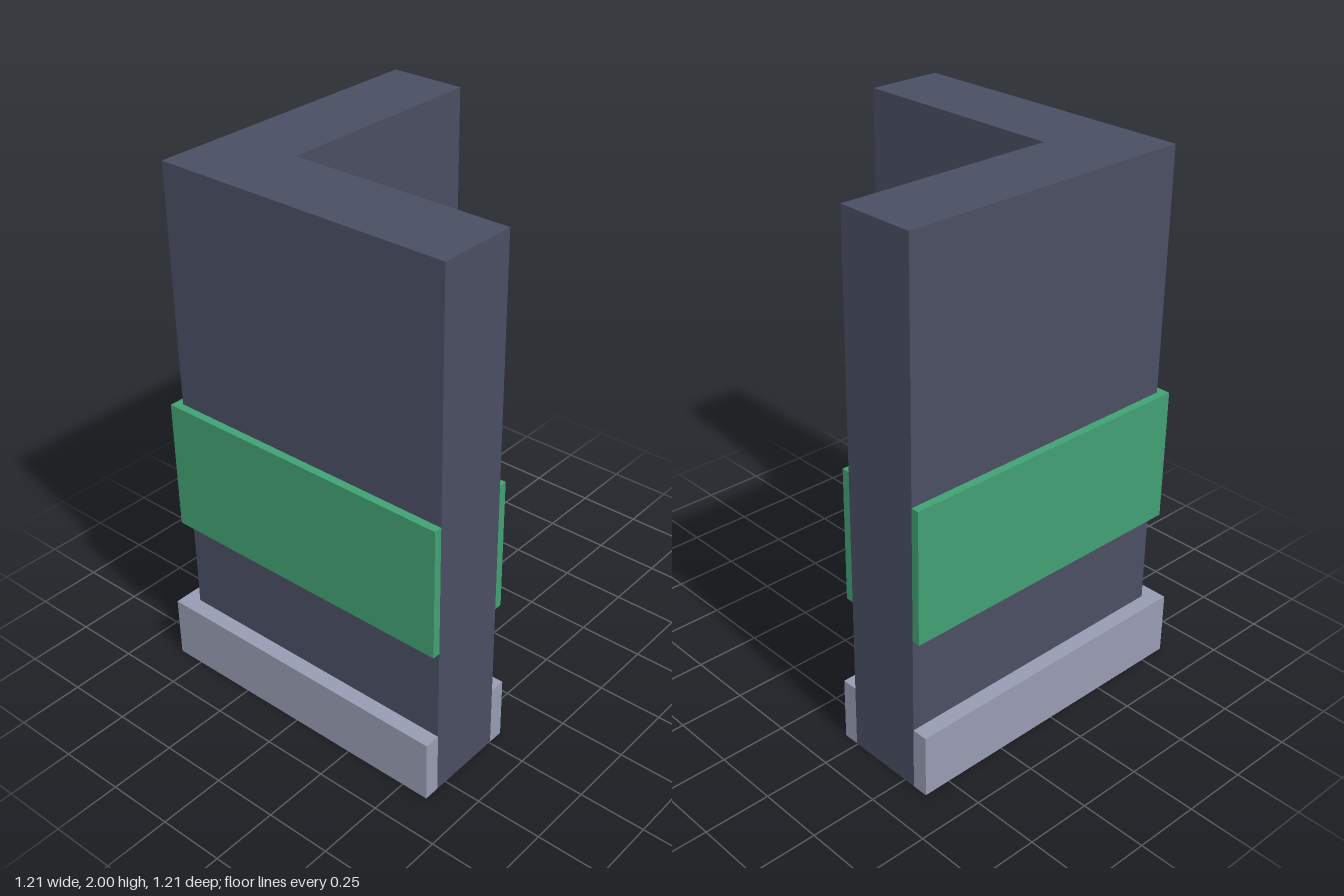
import * as THREE from 'three';

const END = 0.605;          // flush ends of both wings
const OUTER = -0.545;       // outer wall face
const INNER = -0.245;       // inner wall face

// L-shaped prism lying between the corner offsets a and b (same in x and z)
function cornerPrism(name, a, b, y0, y1, material) {
  const outline = [[END, a], [a, a], [a, END], [b, END], [b, b], [END, b]];
  const shape = new THREE.Shape(outline.map(([x, z]) => new THREE.Vector2(x, -z)));
  const geometry = new THREE.ExtrudeGeometry(shape, { depth: y1 - y0, bevelEnabled: false });
  geometry.rotateX(-Math.PI / 2).translate(0, y0, 0);
  const mesh = new THREE.Mesh(geometry, material);
  mesh.name = name;
  return mesh;
}

// Matching strips on the outer and inner faces of the wall
function trim(name, thickness, y0, y1, material) {
  const group = new THREE.Group();
  group.name = name;
  group.add(
    cornerPrism(name + 'Outer', OUTER - thickness, OUTER, y0, y1, material),
    cornerPrism(name + 'Inner', INNER, INNER + thickness, y0, y1, material)
  );
  return group;
}

export function createModel() {
  const wallPaint = new THREE.MeshStandardMaterial({ color: 0x4a4e62 });
  wallPaint.name = 'dark slate';
  const stripePaint = new THREE.MeshStandardMaterial({ color: 0x42a174 });
  stripePaint.name = 'green';
  const basePaint = new THREE.MeshStandardMaterial({ color: 0x979cb1 });
  basePaint.name = 'light grey';

  const model = new THREE.Group();
  model.name = 'cornerWall';
  model.add(
    cornerPrism('wall', OUTER, INNER, 0, 2, wallPaint),
    trim('stripe', 0.03, 0.6, 1.1, stripePaint),
    trim('baseboard', 0.06, 0, 0.24, basePaint)
  );
  return model;
}
